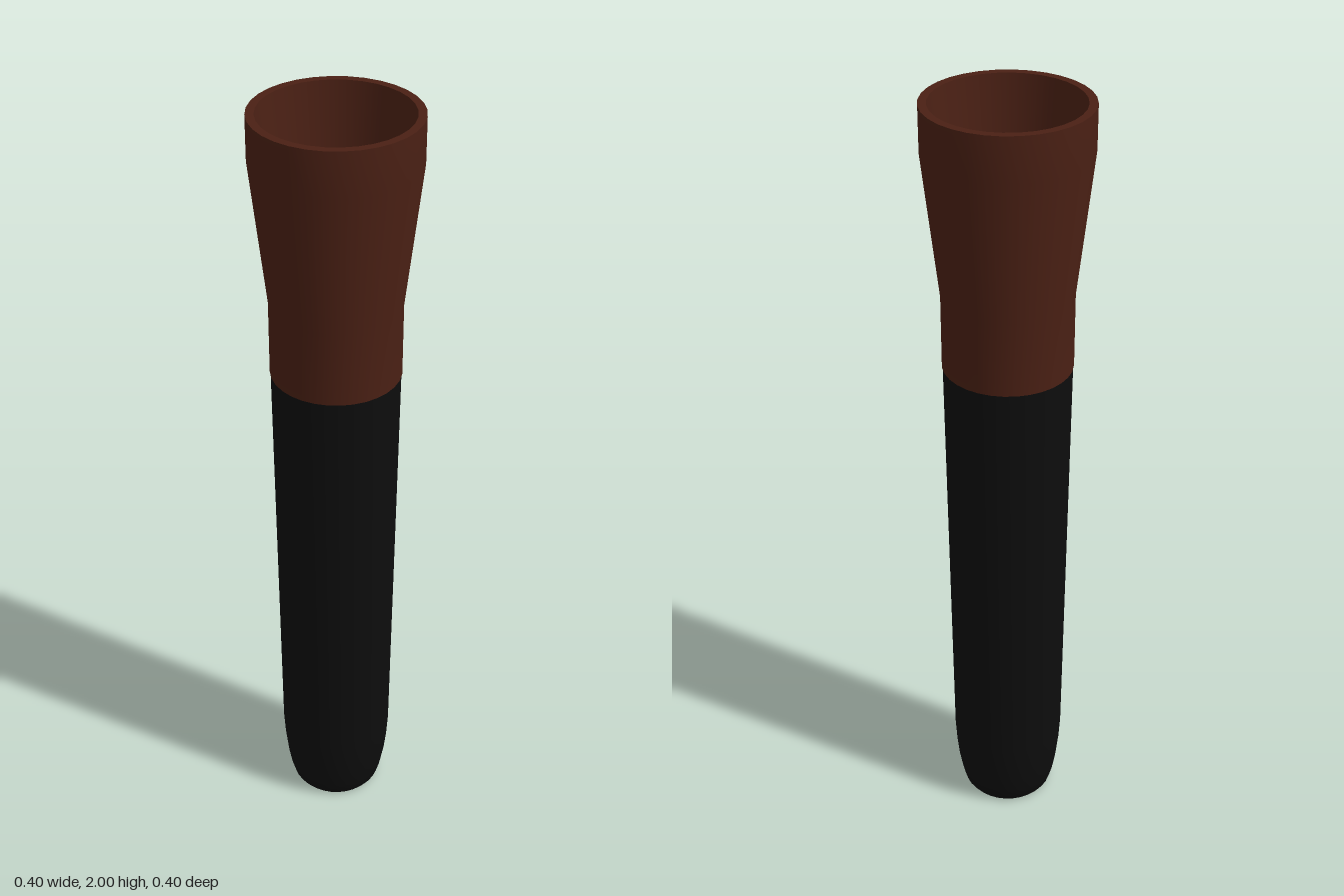
import * as THREE from 'three';
import { toCreasedNormals } from 'three/addons/utils/BufferGeometryUtils.js';

// Turned part from a profile of [radius, height] pairs
function turned(name, profile, segments, color) {
  const points = profile.map(([r, y]) => new THREE.Vector2(r, y));
  const geometry = toCreasedNormals(new THREE.LatheGeometry(points, segments), 0.6);
  const mesh = new THREE.Mesh(geometry, new THREE.MeshStandardMaterial({ color }));
  mesh.name = name;
  return mesh;
}

export function createModel() {
  const group = new THREE.Group();
  group.name = 'handleWithCup';
  const brown = 0x4a2014;
  const black = 0x0d0d0d;

  // Long grip with a rounded butt and a slight taper
  group.add(turned('grip', [
    [0, 0], [0.11, 0], [0.119, 0.012], [0.128, 0.045], [0.136, 0.09],
    [0.142, 0.145], [0.146, 0.21], [0.158, 1.34],
  ], 32, black));

  // Flared cup: outer wall and flat rim
  group.add(turned('cupOuter', [
    [0, 1.34], [0.16, 1.34], [0.16, 1.53], [0.2, 1.89], [0.2, 2], [0.18, 2],
  ], 32, brown));

  // Tapered hollow with a flat floor
  group.add(turned('cupHollow', [
    [0.18, 2], [0.126, 1.5], [0, 1.5],
  ], 64, brown));

  return group;
}
